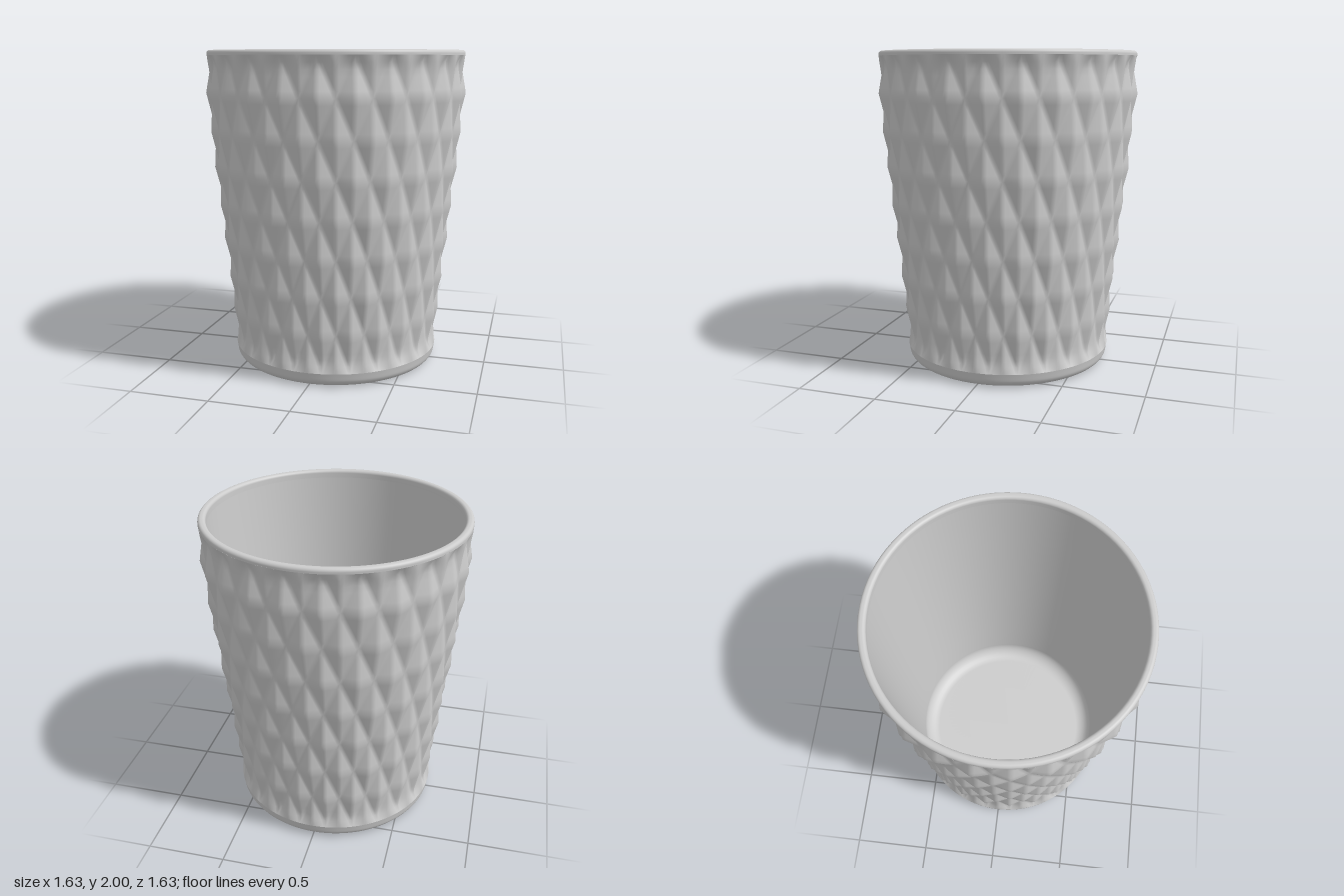
import * as THREE from 'three';

const COLUMNS = 24;          // diamonds around the cup
const ROWS = 8;              // half-diamond bands from bottom to top
const STEP = 6;              // mesh cells per half diamond
const Y0 = 0.09, Y1 = 1.97;  // limits of the relief
const DEPTH = 0.035;         // groove depth

const material = new THREE.MeshStandardMaterial({ color: 0xcccccc });
const smooth = THREE.MathUtils.smoothstep;

// Radius of the diamond peaks at a height
const PROFILE = [[0.09, 0.668], [0.33, 0.685], [0.8, 0.733], [1.27, 0.783], [1.74, 0.825], [1.97, 0.816]];
function peakRadius(y) {
  let i = 0;
  while (i < PROFILE.length - 2 && y > PROFILE[i + 1][0]) i++;
  const [ya, ra] = PROFILE[i], [yb, rb] = PROFILE[i + 1];
  return ra + (rb - ra) * (y - ya) / (yb - ya);
}

// Pyramid relief: 1 on a peak, 0 in the grooves; u and v count half diamonds
function relief(u, v) {
  const du = Math.abs(((u % 2) + 2) % 2 - 1);
  const dv = Math.abs(v % 2 - 1);
  return Math.abs(du + dv - 1);
}

// Outer wall with staggered diamonds, closed around the axis
function diamondWall() {
  const around = COLUMNS * 2 * STEP, up = ROWS * STEP;
  const positions = [], index = [];
  for (let j = 0; j <= up; j++) {
    const v = j / STEP, y = Y0 + (Y1 - Y0) * j / up;
    const fade = smooth(y, Y0, Y0 + 0.06) * (1 - smooth(y, Y1 - 0.06, Y1));
    for (let i = 0; i < around; i++) {
      const a = i / around * Math.PI * 2;
      const r = peakRadius(y) - DEPTH * fade * (1 - relief(i / STEP, v));
      positions.push(r * Math.sin(a), y, r * Math.cos(a));
    }
  }
  for (let j = 0; j < up; j++) {
    for (let i = 0; i < around; i++) {
      const a = j * around + i, b = j * around + (i + 1) % around;
      const c = a + around, d = b + around;
      // Diagonals follow the grooves
      if ((Math.floor(i / STEP) + Math.floor(j / STEP)) % 2) index.push(a, b, d, a, d, c);
      else index.push(a, b, c, b, d, c);
    }
  }
  const g = new THREE.BufferGeometry();
  g.setAttribute('position', new THREE.Float32BufferAttribute(positions, 3));
  g.setIndex(index);
  g.computeVertexNormals();
  return g;
}

// Rounded corner as lathe points, angles in degrees
function arc(cx, cy, r, from, to, n = 8) {
  return Array.from({ length: n + 1 }, (_, i) => {
    const a = THREE.MathUtils.degToRad(from + (to - from) * i / n);
    return new THREE.Vector2(cx + r * Math.cos(a), cy + r * Math.sin(a));
  });
}

export function createModel() {
  const cup = new THREE.Group();
  cup.name = 'cup';
  const add = (name, geometry) => {
    const mesh = new THREE.Mesh(geometry, material);
    mesh.name = name;
    cup.add(mesh);
  };
  const lathe = (points) => new THREE.LatheGeometry(points, 96);
  const p = (x, y) => new THREE.Vector2(x, y);

  add('diamondWall', diamondWall());

  // Underside with rounded foot
  add('base', lathe([p(0, 0), p(0.3, 0), p(0.57, 0), ...arc(0.603, 0.06, 0.06, -90, 0), p(0.668, Y0)]));

  // Rounded lip
  add('rim', lathe([p(0.816, Y1), ...arc(0.796, 1.98, 0.02, 0, 90), ...arc(0.788, 1.98, 0.02, 90, 180), p(0.767, 1.95)]));

  // Inner wall and floor with a soft corner
  add('interior', lathe([p(0.767, 1.95), p(0.74, 1.6), p(0.69, 1), p(0.645, 0.45), p(0.627, 0.2),
    ...arc(0.527, 0.18, 0.1, 0, -90), p(0.3, 0.08), p(0, 0.08)]));

  return cup;
}
